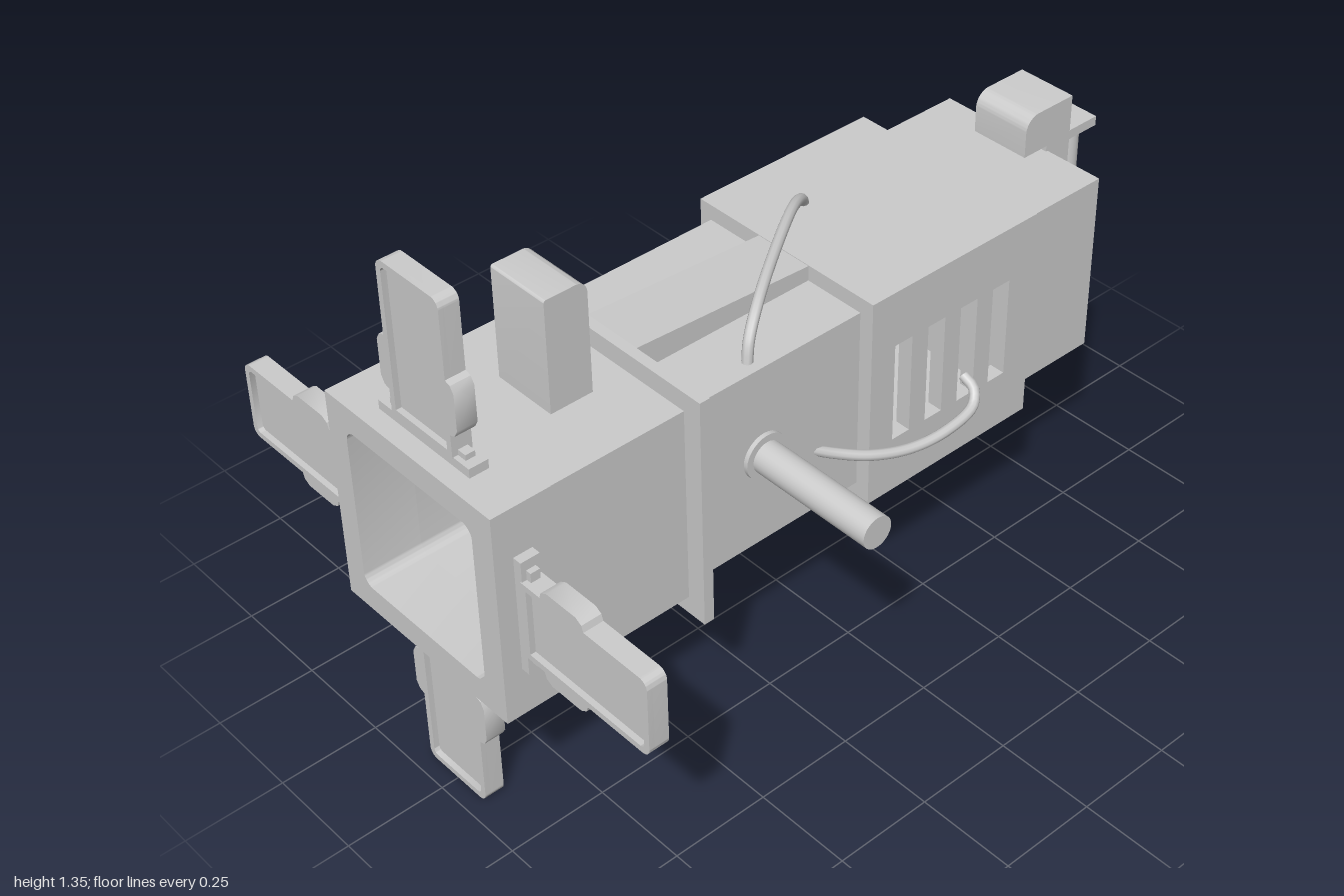
import * as THREE from 'three';
import { toCreasedNormals } from 'three/addons/utils/BufferGeometryUtils.js';

const MID = 0.677; // height of the long axis
const mat = new THREE.MeshStandardMaterial({ color: 0xcccccc });

function add(parent, name, geo) {
  const mesh = new THREE.Mesh(geo, mat);
  mesh.name = name;
  parent.add(mesh);
  return mesh;
}

// Box given by its limits on each axis
function box(parent, name, [x0, x1], [y0, y1], [z0, z1]) {
  const geo = new THREE.BoxGeometry(x1 - x0, y1 - y0, z1 - z0);
  return add(parent, name, geo.translate((x0 + x1) / 2, (y0 + y1) / 2, (z0 + z1) / 2));
}

// Rectangle with one radius per corner: lower left, lower right, upper right, upper left
function roundRect(x0, x1, y0, y1, [a, b, c, d], Type = THREE.Shape) {
  const s = new Type();
  s.moveTo(x0 + a, y0).lineTo(x1 - b, y0);
  if (b) s.absarc(x1 - b, y0 + b, b, -Math.PI / 2, 0, false);
  s.lineTo(x1, y1 - c);
  if (c) s.absarc(x1 - c, y1 - c, c, 0, Math.PI / 2, false);
  s.lineTo(x0 + d, y1);
  if (d) s.absarc(x0 + d, y1 - d, d, Math.PI / 2, Math.PI, false);
  s.lineTo(x0, y0 + a);
  if (a) s.absarc(x0 + a, y0 + a, a, Math.PI, Math.PI * 1.5, false);
  return s;
}

function extrude(shape, depth) {
  const geo = new THREE.ExtrudeGeometry(shape, { depth, bevelEnabled: false, curveSegments: 8 });
  return toCreasedNormals(geo, 0.6);
}

// Side profile (z, y) extruded across x
function profile(parent, name, shape, x0, x1) {
  const geo = extrude(shape, x1 - x0).rotateY(-Math.PI / 2).translate(x1, 0, 0);
  return add(parent, name, geo);
}

// Square section with a rounded square bore
function boredSection(parent, name, half, z0, z1) {
  const s = roundRect(-half, half, MID - half, MID + half, [0, 0, 0, 0]);
  s.holes.push(roundRect(-0.212, 0.208, MID - 0.21, MID + 0.21, [0.03, 0.03, 0.03, 0.03], THREE.Path));
  add(parent, name, extrude(s, z1 - z0).translate(0, 0, z0));
}

function cable(parent, name, points) {
  const curve = new THREE.CatmullRomCurve3(points.map((p) => new THREE.Vector3(...p)));
  add(parent, name, new THREE.TubeGeometry(curve, 40, 0.013, 10));
}

// Hinged flap pointing up from the axis, with a shallow tray on its front
function flap() {
  const g = new THREE.Group();
  const r = [0, 0, 0.022, 0.022];
  box(g, 'hingeBase', [-0.15, 0.15], [0.27, 0.298], [0.905, 0.953]);
  for (const s of [-1, 1]) {
    box(g, 'hingeLug', [s * 0.113 - 0.012, s * 0.113 + 0.012], [0.298, 0.312], [0.917, 0.941]);
  }
  add(g, 'flapPlate', extrude(roundRect(-0.1, 0.1, 0.295, 0.677, r), 0.036).translate(0, 0, 0.905));
  const rim = roundRect(-0.1, 0.1, 0.295, 0.677, r);
  rim.holes.push(roundRect(-0.085, 0.085, 0.31, 0.662, [0, 0, 0.012, 0.012], THREE.Path));
  add(g, 'flapRim', extrude(rim, 0.014).translate(0, 0, 0.941));
  // side grips with sloped ends
  for (const s of [-1, 1]) {
    const pts = [[0.1, 0.355], [0.115, 0.36], [0.125, 0.378], [0.125, 0.468], [0.115, 0.485], [0.1, 0.49]];
    const grip = new THREE.Shape(pts.map(([x, y]) => new THREE.Vector2(s * x, y)));
    add(g, 'flapGrip', extrude(grip, 0.05).translate(0, 0, 0.905));
  }
  return g;
}

export function createModel() {
  const model = new THREE.Group();
  model.name = 'device';

  // Bored front end and flange
  boredSection(model, 'frontFrame', 0.275, 0.85, 1);
  boredSection(model, 'frontBody', 0.255, 0.485, 0.85);
  box(model, 'flange', [-0.305, 0.305], [0.375, 0.98], [0.463, 0.49]);

  // Four flaps around the front frame
  const names = ['topFlap', 'rightFlap', 'bottomFlap', 'leftFlap'];
  names.forEach((name, i) => {
    const f = flap();
    f.name = name;
    f.position.y = MID;
    f.rotation.z = (i * Math.PI) / 2;
    model.add(f);
  });

  // Upright block on top, rounded at its rear edge
  profile(model, 'topSight', roundRect(0.585, 0.695, 0.92, 1.215, [0, 0, 0.006, 0.03]).clone(), -0.09, 0.08);

  // Middle body with sloping spine
  box(model, 'middleBody', [-0.243, 0.24], [0.44, 0.915], [-0.03, 0.465]);
  const spine = new THREE.Shape([[-0.03, 0.9], [0.465, 0.9], [0.465, 0.98], [-0.03, 0.953]]
    .map((p) => new THREE.Vector2(...p)));
  profile(model, 'spine', spine, -0.083, 0.077);

  // Hollow vented housing
  const [z0, z1, y0, y1, t] = [-0.538, -0.025, 0.4, 0.955, 0.04];
  for (const [name, x] of [['rightVentWall', -0.278], ['leftVentWall', 0.238]]) {
    const wall = roundRect(z0, z1, y0, y1, [0, 0, 0, 0]);
    for (let i = 0; i < 4; i++) {
      const z = -0.15 - i * 0.103;
      wall.holes.push(roundRect(z, z + 0.053, 0.548, 0.81, [0, 0, 0, 0], THREE.Path));
    }
    profile(model, name, wall, x, x + t);
  }
  box(model, 'housingTop', [-0.238, 0.238], [y1 - t, y1], [z0, z1]);
  box(model, 'housingBottom', [-0.238, 0.238], [y0, y0 + t], [z0, z1]);
  box(model, 'housingFront', [-0.238, 0.238], [y0 + t, y1 - t], [z1 - t, z1]);
  box(model, 'housingBack', [-0.238, 0.238], [y0 + t, y1 - t], [z0, z0 + t]);

  // Rear body, rail and rounded knob
  box(model, 'rearBody', [-0.242, 0.238], [0.44, 0.915], [-0.795, -0.538]);
  box(model, 'rearRail', [-0.083, 0.077], [0.425, 0.935], [-0.87, -0.79]);
  profile(model, 'rearKnob', roundRect(-0.87, -0.715, 0.93, 1.035, [0, 0, 0.04, 0]), -0.083, 0.077);
  box(model, 'handlePlate', [-0.053, 0.047], [0.45, 0.912], [-0.895, -0.87]);

  // Rear handle
  for (const [a, b] of [[0.885, 0.91], [0.45, 0.475]]) {
    box(model, 'handleBracket', [-0.053, 0.047], [a, b], [-1, -0.89]);
  }
  const bar = new THREE.CylinderGeometry(0.027, 0.027, 0.42, 20);
  add(model, 'handleBar', bar.translate(-0.003, 0.68, -0.96));

  // Side peg with collar
  const along = (r, x0, x1) => new THREE.CylinderGeometry(r, r, x1 - x0, 28)
    .rotateZ(Math.PI / 2).translate((x0 + x1) / 2, 0.68, 0.257);
  add(model, 'pegCollar', along(0.058, 0.23, 0.251));
  add(model, 'sidePeg', along(0.04, 0.25, 0.587));

  // Cables
  cable(model, 'topCable', [[0.205, 0.9, 0.272], [0.195, 0.96, 0.257], [0.16, 1.01, 0.2], [0.045, 1.03, 0.035],
    [-0.05, 1.015, -0.1], [-0.1, 0.975, -0.172], [-0.115, 0.94, -0.192]]);
  cable(model, 'leftCable', [[0.225, 0.605, 0.11], [0.25, 0.58, 0.06], [0.29, 0.553, -0.02], [0.318, 0.535, -0.12],
    [0.33, 0.538, -0.22], [0.322, 0.555, -0.31], [0.3, 0.58, -0.335], [0.265, 0.595, -0.338]]);
  cable(model, 'rightCable', [[-0.23, 0.82, 0.27], [-0.285, 0.8, 0.277], [-0.315, 0.73, 0.31], [-0.325, 0.61, 0.4],
    [-0.33, 0.58, 0.5], [-0.335, 0.63, 0.63], [-0.33, 0.71, 0.75], [-0.3, 0.745, 0.788], [-0.245, 0.75, 0.797]]);

  return model;
}
